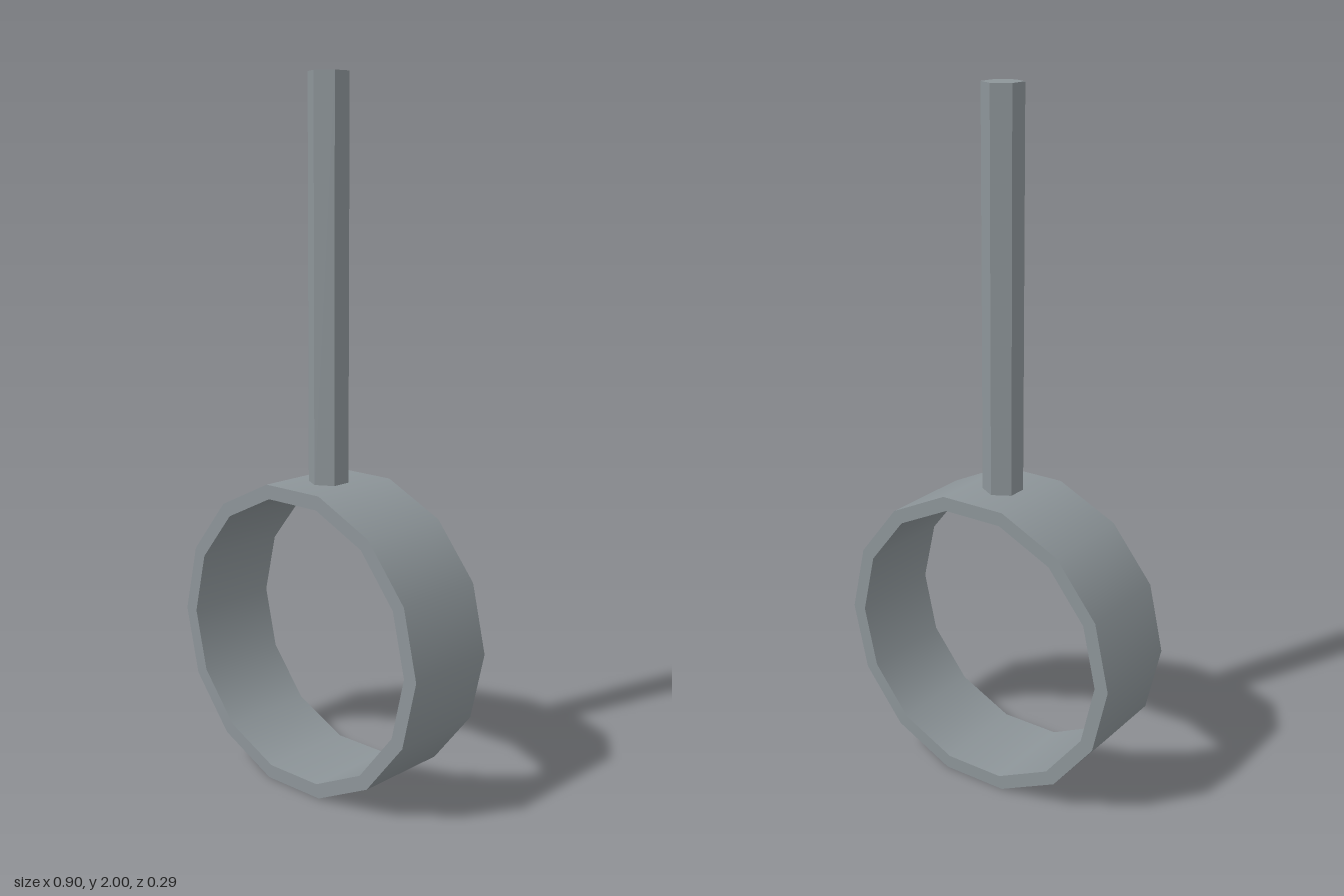
import * as THREE from 'three';
import { mergeGeometries } from 'three/addons/utils/BufferGeometryUtils.js';

const SIDES = 14, OUTER = 0.4505, INNER = 0.409, HALF = 0.146;
const RING_Y = OUTER * Math.cos(Math.PI / SIDES); // ring rests on a flat side

// Each profile edge is its own band, so rims stay sharp and walls stay smooth
function ringGeometry() {
  const profile = [[OUTER, -HALF], [OUTER, HALF], [INNER, HALF], [INNER, -HALF]]
    .map(([r, y]) => new THREE.Vector2(r, y));
  const bands = profile.map((p, i) =>
    new THREE.LatheGeometry([p, profile[(i + 1) % 4]], SIDES, Math.PI / 2));
  return mergeGeometries(bands).rotateX(Math.PI / 2);
}

export function createModel() {
  const group = new THREE.Group();
  const steel = new THREE.MeshStandardMaterial({ color: 0x8d9599 });
  steel.name = 'steel grey';

  // Open ring band
  const ring = new THREE.Mesh(ringGeometry(), steel);
  ring.name = 'ring';
  ring.position.y = RING_Y;
  group.add(ring);

  // Hexagonal rod, its foot poking just through the ring wall
  const bottom = 0.835, top = 2;
  const rodGeometry = new THREE.CylinderGeometry(0.0575, 0.0575, top - bottom, 6).toNonIndexed();
  rodGeometry.computeVertexNormals();
  const rod = new THREE.Mesh(rodGeometry, steel);
  rod.name = 'rod';
  rod.position.y = (top + bottom) / 2;
  group.add(rod);

  return group;
}
